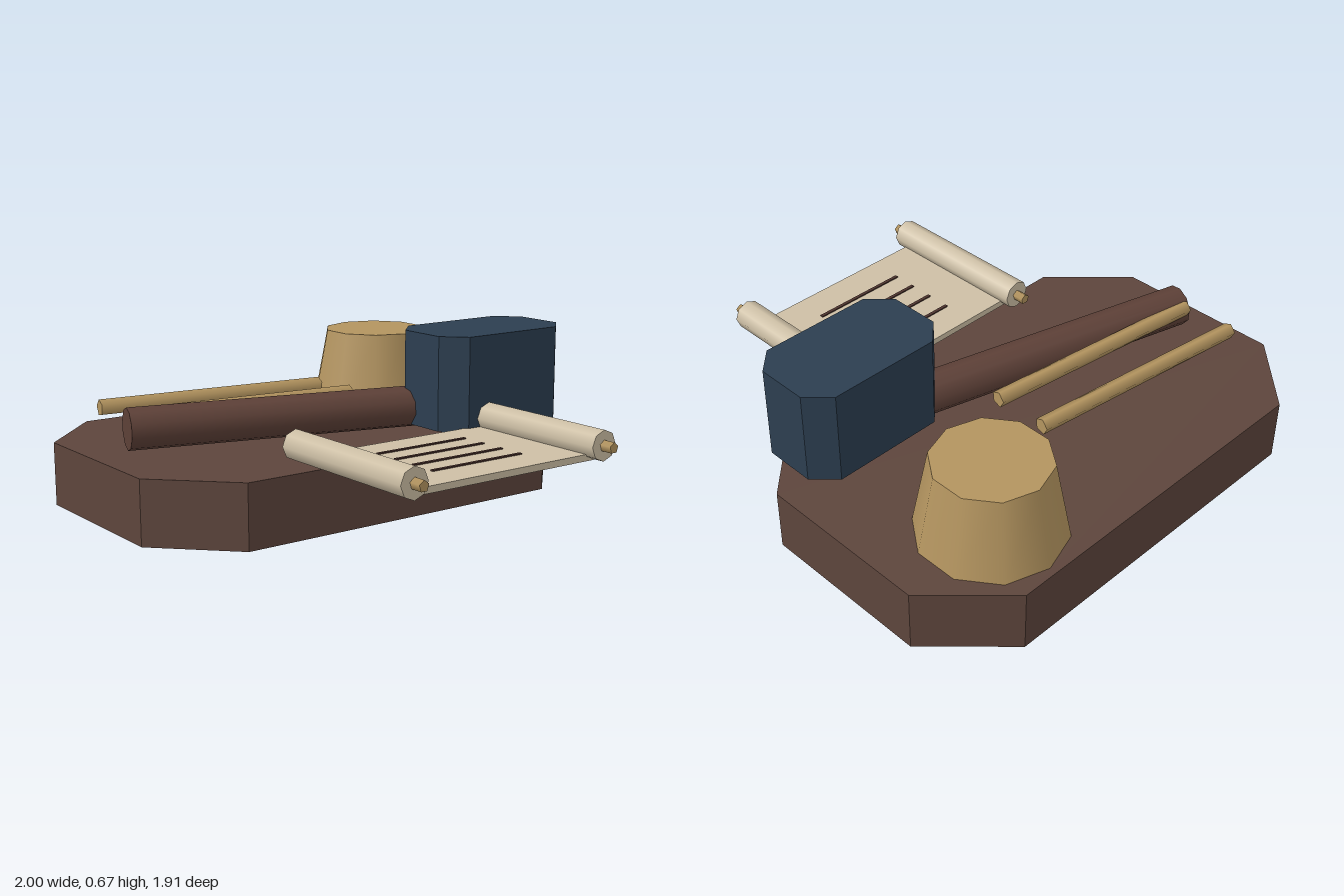
import * as THREE from 'three';

const mat = (name, color, flatShading = false) => {
  const m = new THREE.MeshStandardMaterial({ color, flatShading });
  m.name = name;
  return m;
};

export function createModel() {
  const model = new THREE.Group();
  model.name = 'writingSet';
  const wood = mat('boardWood', 0x5d453c);
  const leather = mat('darkLeather', 0x5d4037);
  const navy = mat('navyBlue', 0x2c3e50);
  const tan = mat('tanBamboo', 0xb3945f);
  const paper = mat('paper', 0xcdbfa5);
  const ink = mat('ink', 0x4e342e);

  const add = (name, geometry, material, x = 0, y = 0, z = 0, parent = model) => {
    const mesh = new THREE.Mesh(geometry, material);
    mesh.name = name;
    mesh.position.set(x, y, z);
    parent.add(mesh);
    return mesh;
  };

  // Upright block whose four vertical corners are cut off
  const cutBlock = (w, d, h, c) => {
    const x = w / 2, z = d / 2;
    const outline = [[-x + c, -z], [x - c, -z], [x, -z + c], [x, z - c],
      [x - c, z], [-x + c, z], [-x, z - c], [-x, -z + c]];
    const shape = new THREE.Shape(outline.map(([a, b]) => new THREE.Vector2(a, b)));
    return new THREE.ExtrudeGeometry(shape, { depth: h, bevelEnabled: false }).rotateX(-Math.PI / 2);
  };

  // Straight rod between two points
  const rod = (name, from, to, radius, sides, material, parent = model, turn = 0) => {
    const a = new THREE.Vector3(...from), b = new THREE.Vector3(...to);
    const geometry = new THREE.CylinderGeometry(radius, radius, a.distanceTo(b), sides, 1, false, turn);
    const mid = a.clone().add(b).multiplyScalar(0.5);
    const mesh = add(name, geometry, material, mid.x, mid.y, mid.z, parent);
    mesh.quaternion.setFromUnitVectors(new THREE.Vector3(0, 1, 0), b.sub(a).normalize());
    return mesh;
  };

  // Board, ink block and cup
  add('board', cutBlock(2, 1.265, 0.255, 0.28), wood, 0, 0, -0.3275);
  add('inkBlock', cutBlock(0.64, 0.385, 0.383, 0.087), navy, 0.57, 0.287, 0.0825);
  add('cup', new THREE.CylinderGeometry(0.223, 0.285, 0.32, 10), tan, 0.57, 0.415, -0.645);

  // Leather roll and the two sticks behind it
  rod('leatherRoll', [-0.857, 0.353, -0.33], [0.65, 0.353, 0.072], 0.084, 10, leather);
  for (const z of [-0.615, -0.39])
    rod('stick', [-0.827, 0.384, z], [0.153, 0.384, z + 0.122], 0.034, 5, tan, model, Math.PI);

  // Open scroll: sheet, rollers with pins, written lines
  const scroll = new THREE.Group();
  scroll.name = 'scroll';
  model.add(scroll);
  add('sheet', new THREE.BoxGeometry(0.895, 0.026, 0.6), paper, -0.0025, 0.29, 0.56, scroll);
  for (const x of [-0.45, 0.443]) {
    rod('roller', [x, 0.338, 0.905], [x, 0.338, 0.212], 0.06, 8, paper, scroll);
    rod('rollerPin', [x, 0.338, 0.955], [x, 0.338, 0.162], 0.022, 5, tan, scroll);
  }
  for (const z of [0.398, 0.503, 0.607, 0.71])
    add('writtenLine', new THREE.BoxGeometry(0.425, 0.006, 0.014), ink, -0.0025, 0.305, z, scroll);

  return model;
}
